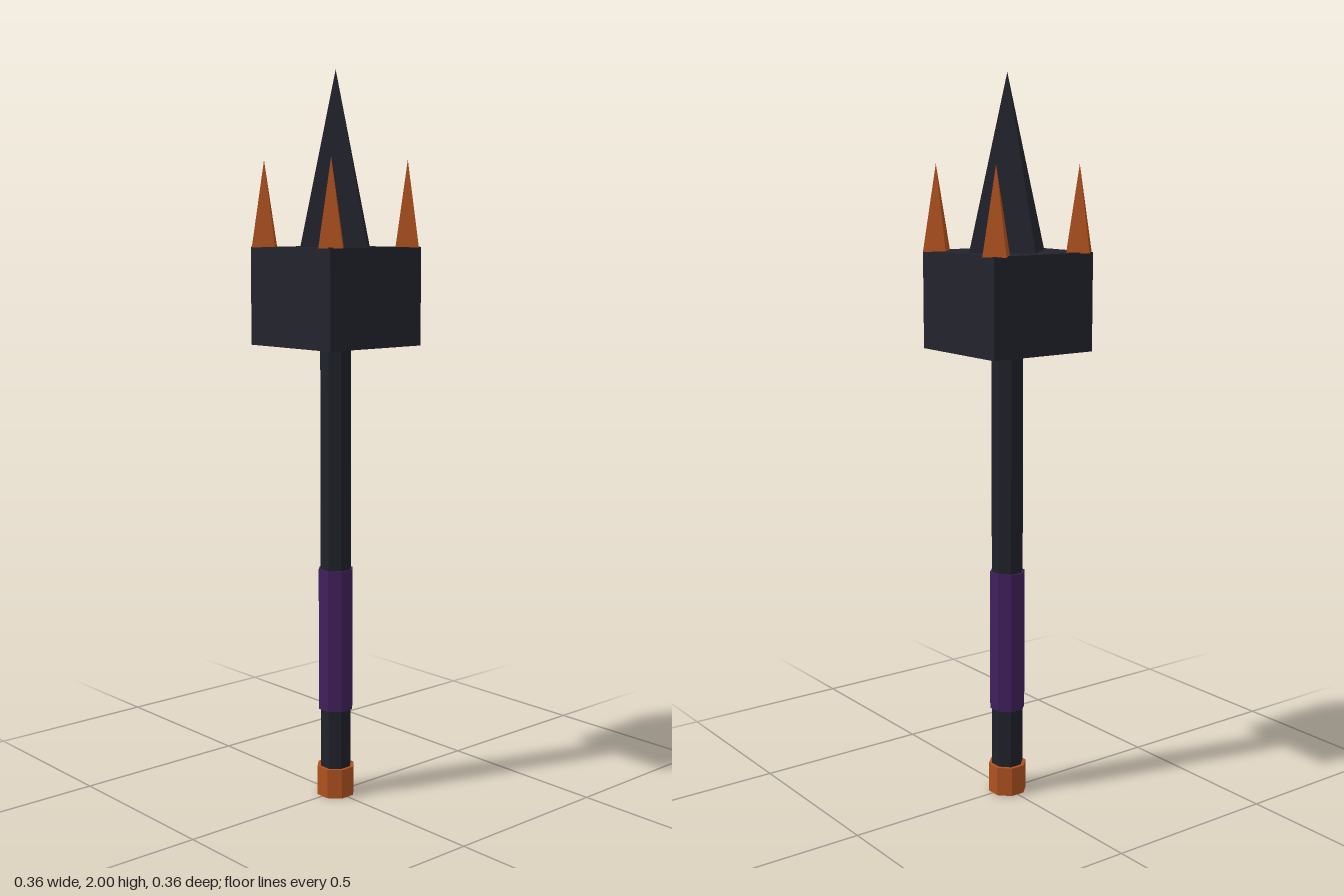
import * as THREE from 'three';

const mat = (name, color) => {
  const m = new THREE.MeshStandardMaterial({ color, flatShading: true });
  m.name = name;
  return m;
};

export function createModel() {
  const group = new THREE.Group();
  const iron = mat('darkIron', 0x23232e);
  const shaftIron = mat('shaftIron', 0x20222b);
  const leather = mat('purpleLeather', 0x41205c);
  const copper = mat('copper', 0xb0521f);

  const add = (name, geometry, material, x, y, z) => {
    const mesh = new THREE.Mesh(geometry, material);
    mesh.name = name;
    mesh.position.set(x, y, z);
    group.add(mesh);
  };

  // Octagonal bar with flat faces to the front, given its half width and y range
  const bar = (name, halfWidth, y0, y1, material) => {
    const r = halfWidth / Math.cos(Math.PI / 8);
    const g = new THREE.CylinderGeometry(r, r, y1 - y0, 8);
    g.rotateY(Math.PI / 8);
    add(name, g, material, 0, (y0 + y1) / 2, 0);
  };

  // Four-sided spike with corners on the x and z axes
  const spike = (name, r, y0, y1, material, x, z) =>
    add(name, new THREE.ConeGeometry(r, y1 - y0, 4), material, x, (y0 + y1) / 2, z);

  // Handle
  bar('shaft', 0.041, 0.04, 1.29, shaftIron);
  bar('grip', 0.046, 0.25, 0.65, leather);
  bar('pommel', 0.05, 0, 0.083, copper);

  // Head block and its spikes
  add('headBlock', new THREE.BoxGeometry(0.325, 0.265, 0.325), iron, 0, 1.4025, 0);
  spike('centerSpike', 0.125, 1.535, 2, iron, 0, 0);
  for (const sx of [-1, 1])
    for (const sz of [-1, 1])
      spike('cornerSpike', 0.044, 1.533, 1.765, copper, sx * 0.136, sz * 0.136);

  return group;
}
